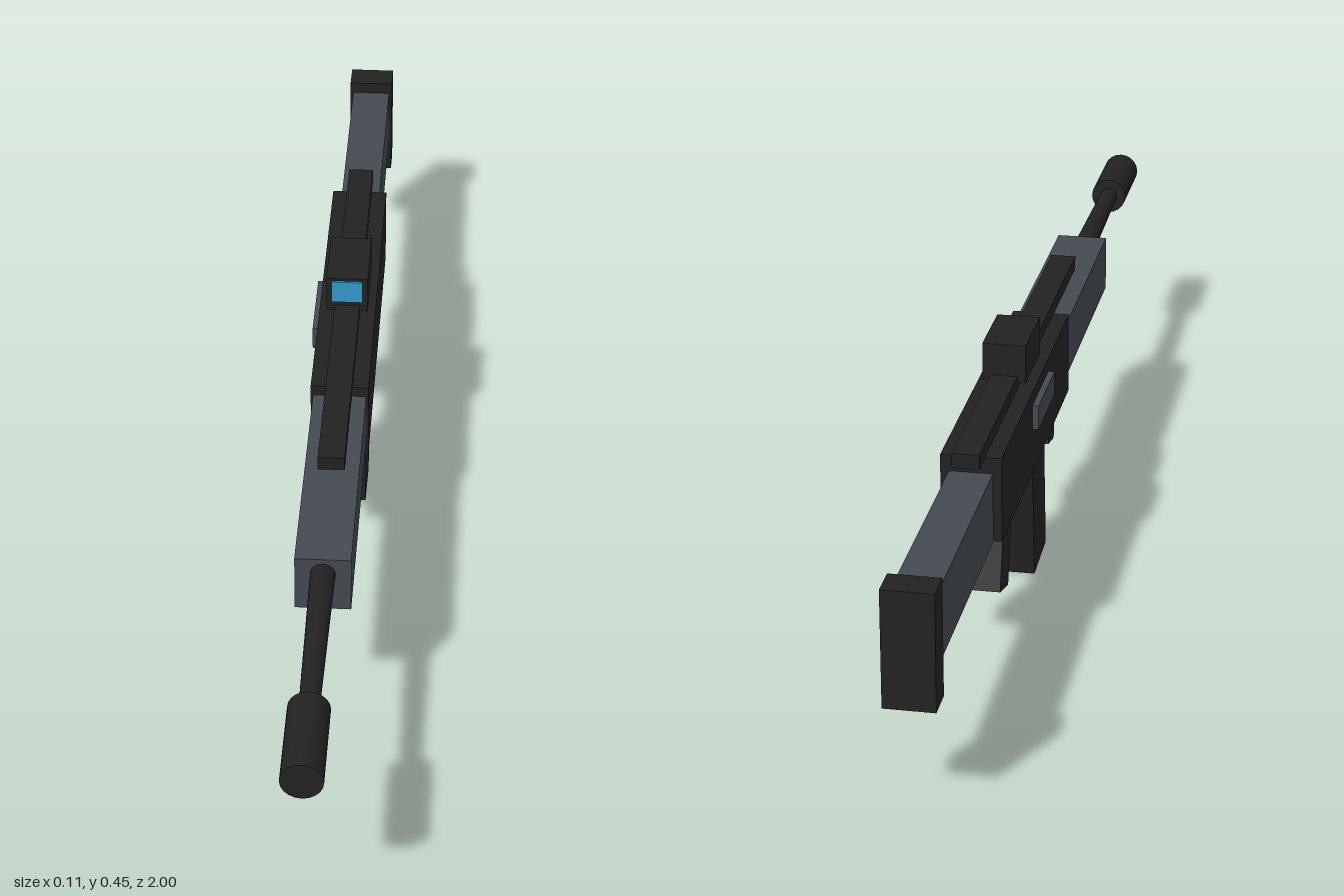
import * as THREE from 'three';

export function createModel() {
  const model = new THREE.Group();
  model.name = 'blockyRifle';
  const mat = (name, color) => {
    const m = new THREE.MeshStandardMaterial({ color });
    m.name = name;
    return m;
  };
  const dark = mat('darkMetal', 0x222222);
  const grey = mat('slateGrey', 0x444a50);
  const blue = mat('lensBlue', 0x3399cc);
  const CX = 0.0045; // centre plane, offset by the port on the -x side

  const add = (name, geometry, material, x, y, z) => {
    const mesh = new THREE.Mesh(geometry, material);
    mesh.name = name;
    mesh.position.set(x, y, z);
    model.add(mesh);
    return mesh;
  };

  // Box on the centre plane from its height range and length range
  const block = (name, material, width, y0, y1, z0, z1) =>
    add(name, new THREE.BoxGeometry(width, y1 - y0, z1 - z0), material, CX, (y0 + y1) / 2, (z0 + z1) / 2);

  // Body, from butt to fore-end
  block('buttPlate', dark, 0.081, 0.174, 0.366, -1, -0.947);
  block('stock', grey, 0.07, 0.227, 0.345, -0.95, -0.53);
  block('receiver', dark, 0.098, 0.229, 0.372, -0.538, 0.082);
  block('handguard', grey, 0.09, 0.255, 0.354, 0.07, 0.523);
  block('topRail', dark, 0.044, 0.37, 0.394, -0.58, 0.31);
  block('triggerGuard', dark, 0.02, 0.207, 0.221, -0.36, -0.242);

  // Sight with a blue front lens
  block('sight', dark, 0.072, 0.384, 0.449, -0.261, -0.131);
  block('sightLens', blue, 0.054, 0.403, 0.444, -0.133, -0.127);

  // Side port
  add('sidePort', new THREE.BoxGeometry(0.014, 0.042, 0.15), grey, -0.048, 0.328, -0.197);

  // Barrel and muzzle
  const tube = (name, rFront, rBack, z0, z1) => {
    const g = new THREE.CylinderGeometry(rFront, rBack, z1 - z0, 20).rotateX(Math.PI / 2);
    add(name, g, dark, CX, 0.325, (z0 + z1) / 2);
  };
  tube('barrel', 0.016, 0.0205, 0.5, 0.85);
  tube('muzzle', 0.033, 0.033, 0.84, 1);

  // Tilted boxes hanging from the body, placed by the centre of their lower end
  const hanging = (name, width, height, depth, y, z, tilt) => {
    const g = new THREE.BoxGeometry(width, height, depth).translate(0, height / 2, 0);
    add(name, g, dark, CX, y, z).rotation.x = tilt;
  };
  hanging('magazine', 0.074, 0.27, 0.11, 0.0045, -0.132, -0.08);
  hanging('foreGrip', 0.054, 0.13, 0.056, 0.152, 0.031, 0.21);
  hanging('pistolGrip', 0.054, 0.2, 0.072, 0.081, -0.409, 0.28);

  return model;
}
